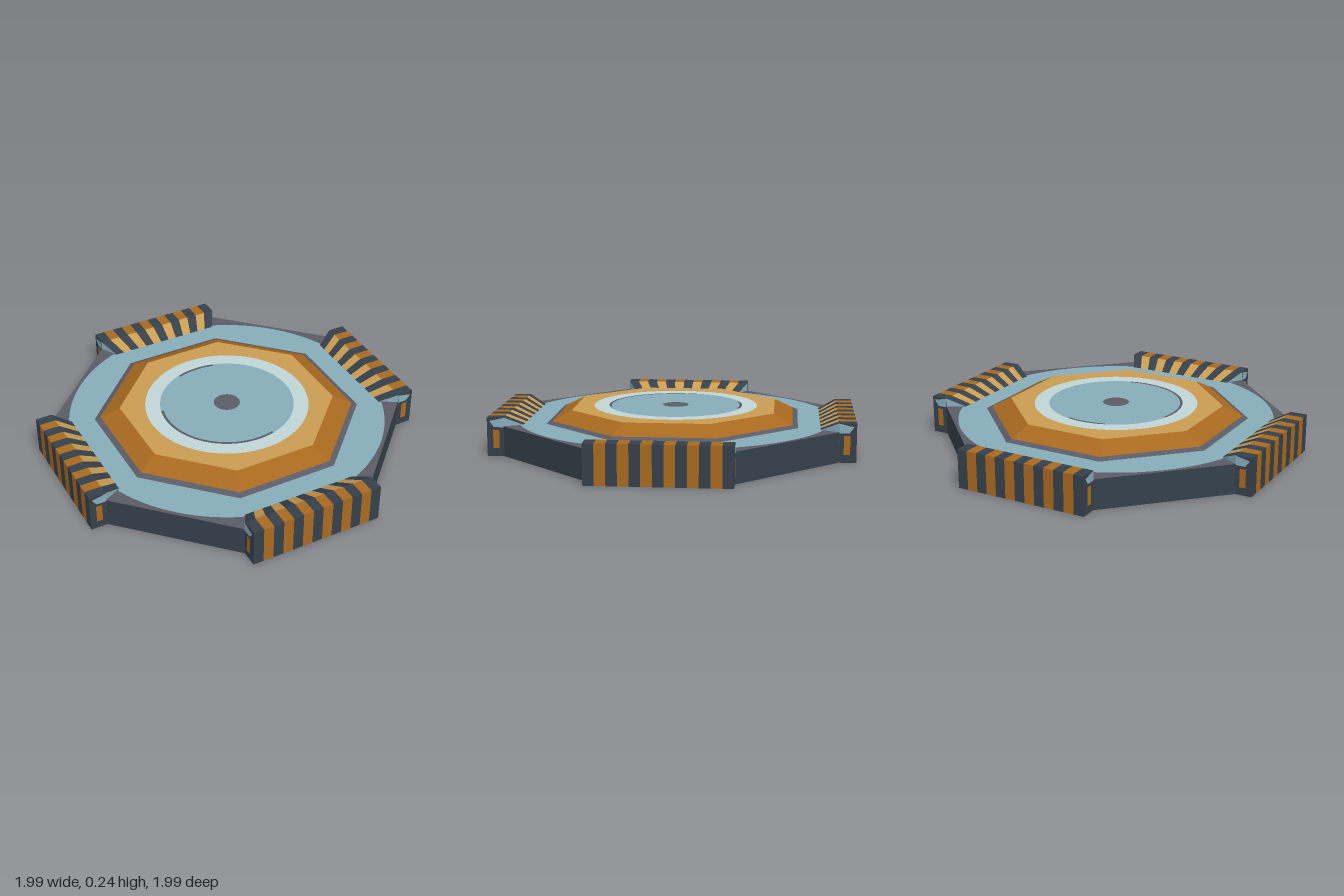
import * as THREE from 'three';

const mat = (name, color) => {
  const m = new THREE.MeshStandardMaterial({ color, side: THREE.DoubleSide });
  m.name = name;
  return m;
};

// Mesh from a list of four-cornered faces
function faces(name, material, quads) {
  const pos = [];
  for (const [a, b, c, d] of quads) pos.push(...a, ...b, ...c, ...a, ...c, ...d);
  const g = new THREE.BufferGeometry();
  g.setAttribute('position', new THREE.Float32BufferAttribute(pos, 3));
  g.computeVertexNormals();
  const mesh = new THREE.Mesh(g, material);
  mesh.name = name;
  return mesh;
}

const DEG = Math.PI / 180;
const circle = r => () => r;
// Radius of an octagon with the given apothem; angles in degrees
const octagon = ap => t => ap / Math.cos((((t + 22.5) % 45) - 22.5) * DEG);

// Ring between two outlines, from the inner height to the outer height
function ring(name, material, inner, outer, yIn, yOut = yIn, from = 0, to = 360) {
  const n = Math.round((to - from) / 360 * 384), quads = [];
  const at = (f, t, y) => [f(t) * Math.cos(t * DEG), y, f(t) * Math.sin(t * DEG)];
  for (let i = 0; i < n; i++) {
    const t0 = from + (to - from) * i / n, t1 = from + (to - from) * (i + 1) / n;
    if (outer(t0) - inner(t0) < 1e-5 && outer(t1) - inner(t1) < 1e-5) continue;
    quads.push([at(outer, t0, yOut), at(inner, t0, yIn), at(inner, t1, yIn), at(outer, t1, yOut)]);
  }
  return faces(name, material, quads);
}

export function createModel() {
  const slate = mat('slate', 0x35404a), grey = mat('grey', 0x5a5b66);
  const orange = mat('dark orange', 0xa8691f), tan = mat('tan', 0xc99c52);
  const blue = mat('blue grey', 0x86adba), pale = mat('pale blue', 0xc0d5d8);
  const model = new THREE.Group();
  model.name = 'octagonalPad';

  const FLOOR = 0.17, DECK = 0.24, TOP = 0.22;
  const AP = 0.93, HALF = 0.385;               // octagon apothem and half side
  const OUT = 1.025, IN = 0.83, IN_HALF = 0.33; // barrier outer and inner edges

  // Floor, cut back along the diagonals under the barriers
  const edge = t => {
    const a = Math.abs((t % 90) - 45);
    return a < 22 ? IN / Math.cos(a * DEG) : octagon(AP)(t);
  };
  const paint = t => Math.min(0.91, edge(t));
  model.add(
    ring('floorCorners', grey, paint, edge, FLOOR),
    ring('floorRing', blue, octagon(0.705), paint, FLOOR),
    // Raised deck with sloping rim
    ring('deckFoot', grey, octagon(0.675), octagon(0.705), 0.184, FLOOR),
    ring('deckSlope', orange, octagon(0.57), octagon(0.675), DECK, 0.184),
    ring('deckBand', tan, circle(0.47), octagon(0.57), DECK),
    ring('paleRing', pale, circle(0.385), circle(0.47), DECK),
    ring('landingDisc', blue, circle(0.075), circle(0.37), DECK),
    ring('centreDot', grey, circle(0), circle(0.075), DECK)
  );
  // Thin line round the disc, worn away in places
  const line = [[30, 150, grey], [150, 205, blue], [205, 240, grey], [240, 390, blue]];
  for (const [a, b, m] of line) {
    model.add(ring('discLine', m, circle(0.37), circle(0.385), DECK, DECK, a, b));
  }

  // Striped barrier profile: distance out, height, half length, stripe colour
  const profile = [
    [OUT, 0, HALF, orange], [OUT, TOP, HALF, orange],
    [AP, TOP, HALF, tan], [IN, FLOOR, IN_HALF, tan],
  ];
  const BANDS = 13;

  for (let k = 0; k < 4; k++) {
    // Straight side wall
    const wall = faces('sideWall', slate, [[
      [-HALF, 0, AP], [HALF, 0, AP], [HALF, FLOOR, AP], [-HALF, FLOOR, AP],
    ]]);
    wall.rotation.y = k * Math.PI / 2;
    model.add(wall);

    const barrier = new THREE.Group();
    barrier.name = 'barrier';
    barrier.rotation.y = Math.PI / 4 + k * Math.PI / 2;
    const sets = new Map([[slate, []], [orange, []], [tan, []]]);
    for (let i = 0; i < BANDS; i++) {
      const s0 = 2 * i / BANDS - 1, s1 = 2 * (i + 1) / BANDS - 1;
      for (let p = 0; p < 3; p++) {
        const [z0, y0, h0, m] = profile[p], [z1, y1, h1] = profile[p + 1];
        sets.get(i % 2 ? m : slate).push([
          [s0 * h0, y0, z0], [s1 * h0, y0, z0], [s1 * h1, y1, z1], [s0 * h1, y1, z1],
        ]);
      }
    }
    for (const [m, quads] of sets) barrier.add(faces('barrierStripes', m, quads));

    // End caps with blue top corner and a small upright mark
    for (const s of [1, -1]) {
      const cap = (name, m, pts) => {
        const q = pts.map(([z, y, x = HALF]) => [s * x, y, z]);
        barrier.add(faces(name, m, [s > 0 ? q : q.reverse()]));
      };
      cap('endCap', slate, [[OUT, 0], [AP, 0], [AP, TOP], [OUT, TOP]]);
      cap('endGusset', blue, [[AP, FLOOR], [IN, FLOOR, IN_HALF], [IN, FLOOR, IN_HALF], [AP, TOP]]);
      const x = HALF + 0.003;
      cap('endCorner', blue, [[0.985, 0.165, x], [AP, 0.165, x], [AP, 0.218, x], [1.01, 0.2, x]]);
      cap('endMark', orange, [[0.99, 0.045, x], [0.955, 0.045, x], [0.955, 0.15, x], [0.99, 0.15, x]]);
    }
    model.add(barrier);
  }
  return model;
}
